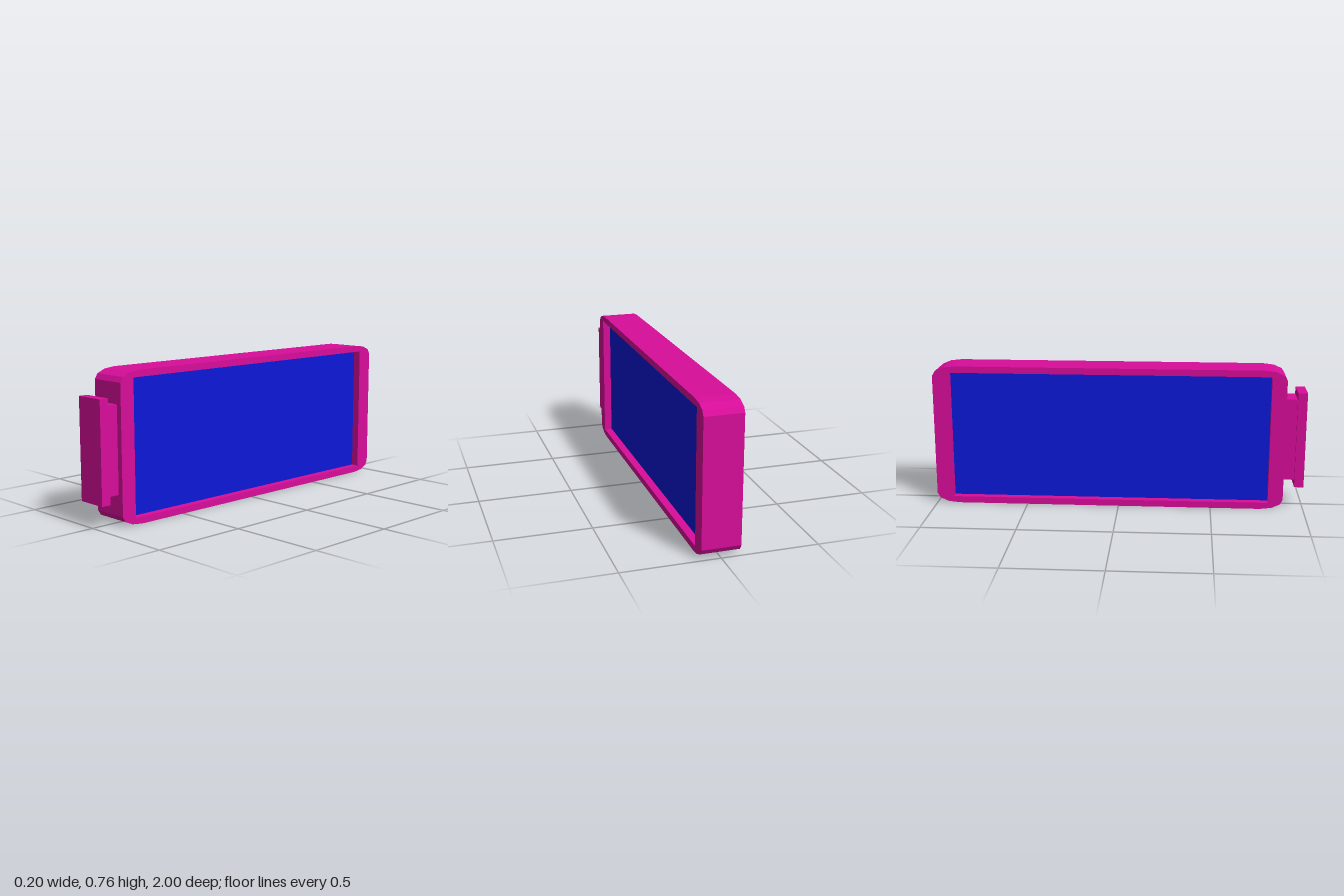
import * as THREE from 'three';

const pink = new THREE.MeshStandardMaterial({ color: 0xd80d9a, flatShading: true });
const blue = new THREE.MeshStandardMaterial({ color: 0x0d18d8, flatShading: true });

// Body extents: z along the length, y up
const Z0 = -1, Z1 = 0.89, H = 0.765, DEPTH = 0.2;
// Window extents in the body
const WIN = { z0: -0.91, z1: 0.81, y0: 0.035, y1: 0.73 };

// Box given by its extents in z and y, centred on x
function slab(name, material, width, z0, z1, y0, y1) {
  const mesh = new THREE.Mesh(new THREE.BoxGeometry(width, y1 - y0, z1 - z0), material);
  mesh.position.set(0, (y0 + y1) / 2, (z0 + z1) / 2);
  mesh.name = name;
  return mesh;
}

// Rectangle whose corners are stretched three-segment quarter ellipses
function bodyOutline() {
  const rz = 0.12, ry = 0.053, points = [];
  const centres = [[Z1 - rz, H - ry], [Z0 + rz, H - ry], [Z0 + rz, ry], [Z1 - rz, ry]];
  centres.forEach(([cz, cy], corner) => {
    for (let i = 0; i <= 3; i++) {
      const a = (corner + i / 3) * Math.PI / 2;
      points.push(new THREE.Vector2(cz + rz * Math.cos(a), cy + ry * Math.sin(a)));
    }
  });
  return new THREE.Shape(points);
}

export function createModel() {
  const group = new THREE.Group();
  group.name = 'flatCase';

  // Frame with the window cut right through
  const outline = bodyOutline();
  outline.holes.push(new THREE.Path([
    new THREE.Vector2(WIN.z0, WIN.y0), new THREE.Vector2(WIN.z0, WIN.y1),
    new THREE.Vector2(WIN.z1, WIN.y1), new THREE.Vector2(WIN.z1, WIN.y0),
  ]));
  const frameGeometry = new THREE.ExtrudeGeometry(outline, { depth: DEPTH, bevelEnabled: false });
  frameGeometry.translate(0, 0, -DEPTH / 2).rotateY(-Math.PI / 2);
  const frame = new THREE.Mesh(frameGeometry, pink);
  frame.name = 'frame';
  group.add(frame);

  // Panel recessed on both sides
  group.add(slab('panel', blue, 0.116, WIN.z0, WIN.z1, WIN.y0, WIN.y1));

  // Neck and end plate at the front
  group.add(slab('neck', pink, 0.14, Z1, 0.95, 0.16, 0.605));
  group.add(slab('endPlate', pink, 0.164, 0.95, 1, 0.122, 0.642));

  return group;
}
